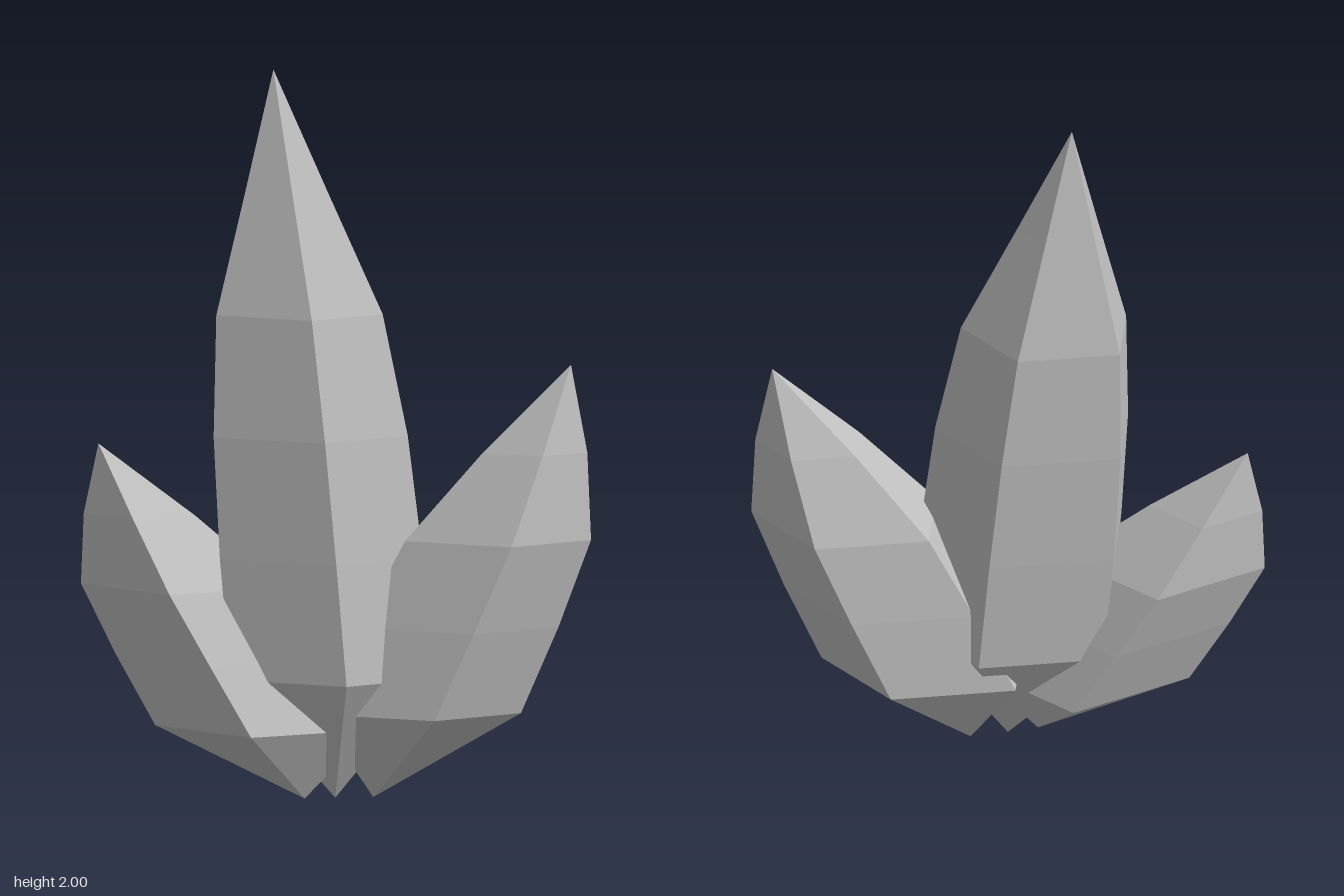
import * as THREE from 'three';

const crystalGrey = new THREE.MeshStandardMaterial({ color: 0xc0c0c0, flatShading: true });
crystalGrey.name = 'crystal grey';

const DEPTH = 0.68; // cross-sections are flattened from front to back

// Faceted shard: level rings of the given radii, spaced evenly from base to tip
function makeCrystal(name, sides, base, tip, radii) {
  const start = new THREE.Vector3(...base);
  const end = new THREE.Vector3(...tip);
  const last = radii.length - 1;
  const point = (ring, k) => {
    const angle = (k / sides) * Math.PI * 2;
    const p = start.clone().lerp(end, ring / last);
    p.x += Math.cos(angle) * radii[ring];
    p.z += Math.sin(angle) * radii[ring] * DEPTH;
    return p;
  };

  const points = [];
  for (let ring = 0; ring < last; ring++) {
    for (let k = 0; k < sides; k++) {
      const a = point(ring, k), b = point(ring, (k + 1) % sides);
      const c = point(ring + 1, k), d = point(ring + 1, (k + 1) % sides);
      if (radii[ring] > 0) points.push(a, c, b);
      if (radii[ring + 1] > 0) points.push(b, c, d);
    }
  }
  const geometry = new THREE.BufferGeometry().setFromPoints(points);
  geometry.computeVertexNormals();
  const mesh = new THREE.Mesh(geometry, crystalGrey);
  mesh.name = name;
  return mesh;
}

export function createModel() {
  const group = new THREE.Group();
  group.name = 'crystalCluster';
  group.add(
    // Tall centre shard, leaning slightly sideways
    makeCrystal('centreCrystal', 5, [0, 0, 0.005], [-0.18, 2, -0.045],
      [0, 0.298, 0.3, 0.287, 0.246, 0.122, 0]),
    // Medium shard, leaning outwards
    makeCrystal('leftCrystal', 5, [0.1, 0, -0.025], [0.64, 1.2, -0.075],
      [0, 0.3, 0.295, 0.275, 0.155, 0]),
    // Short four-sided shard on the other side
    makeCrystal('rightCrystal', 4, [-0.08, 0, 0.035], [-0.66, 0.96, -0.015],
      [0, 0.3, 0.295, 0.277, 0.155, 0]),
  );
  return group;
}
